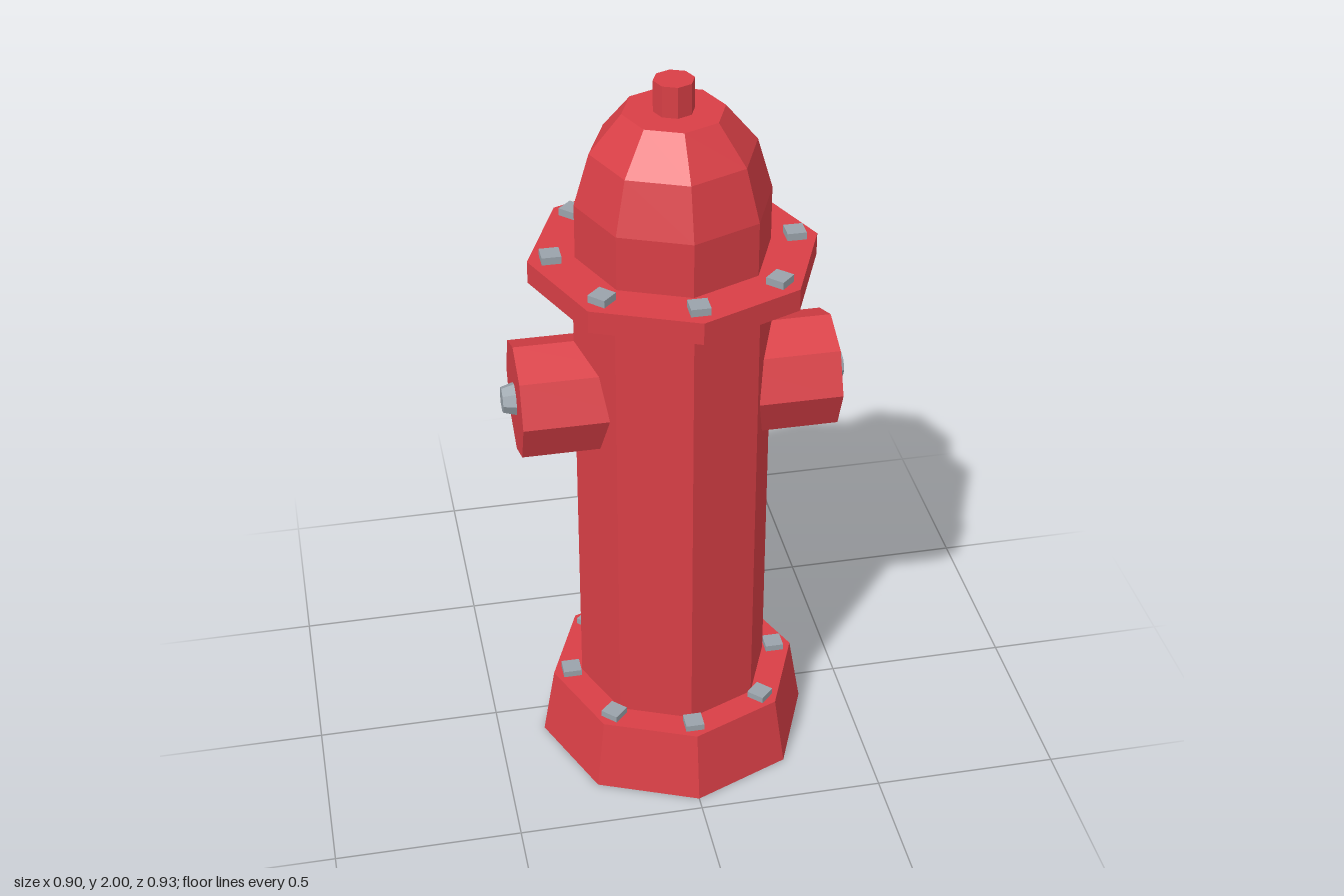
import * as THREE from 'three';

const SIDES = 8;
const AXIS_Z = 0.09; // the barrel stands slightly forward of the centre

const red = new THREE.MeshStandardMaterial({ color: 0xd93f46, flatShading: true, side: THREE.DoubleSide });
red.name = 'red paint';
const steel = new THREE.MeshStandardMaterial({ color: 0x9aa3ab, flatShading: true });
steel.name = 'grey steel';

function part(name, geometry, material, parent) {
  const mesh = new THREE.Mesh(geometry, material);
  mesh.name = name;
  parent.add(mesh);
  return mesh;
}

// Octagonal shell turned around the vertical axis
const turned = (points) =>
  new THREE.LatheGeometry(points.map(([r, y]) => new THREE.Vector2(r, y)), SIDES);

// Octagonal prism or taper from y0 to y1
const prism = (r0, r1, y0, y1) =>
  new THREE.CylinderGeometry(r1, r0, y1 - y0, SIDES).translate(0, (y0 + y1) / 2, 0);

// Ring of square bolts, each turned to face outward
function boltRing(name, radius, top, parent) {
  const ring = new THREE.Group();
  ring.name = name;
  for (let i = 0; i < SIDES; i++) {
    const angle = (i / SIDES) * Math.PI * 2;
    const bolt = part('bolt', new THREE.BoxGeometry(0.05, 0.045, 0.05), steel, ring);
    bolt.position.set(Math.sin(angle) * radius, top - 0.0225, Math.cos(angle) * radius);
    bolt.rotation.y = angle;
  }
  parent.add(ring);
}

// Outlet built along +y, with a tapered nut on its end cap
function outlet(name, radius, length, nutOuter, nutInner, nutLength, parent) {
  const group = new THREE.Group();
  group.name = name;
  part('nozzle', prism(radius, radius, 0.1, length), red, group);
  part('nozzleNut', prism(nutInner, nutOuter, length, length + nutLength), steel, group);
  parent.add(group);
  return group;
}

export function createModel() {
  const model = new THREE.Group();
  model.name = 'fireHydrant';
  const body = new THREE.Group();
  body.name = 'hydrantBody';
  body.position.z = AXIS_Z;
  model.add(body);

  // Flared base, hollow underneath
  part('base', turned([[0.373, 0], [0.34, 0.197], [0, 0.197]]), red, body);
  boltRing('baseBolts', 0.29, 0.215, body);

  // Barrel and upper flange
  part('barrel', prism(0.26, 0.26, 0.197, 1.48), red, body);
  part('flange', prism(0.373, 0.373, 1.473, 1.533), red, body);
  boltRing('flangeBolts', 0.314, 1.553, body);

  // Bonnet and operating knob
  part('bonnet', turned([[0.252, 1.53], [0.252, 1.68], [0.212, 1.818], [0.13, 1.918], [0, 1.918]]), red, body);
  part('topKnob', prism(0.052, 0.052, 1.91, 2), red, body);

  // Mirrored side outlets
  for (const side of [1, -1]) {
    const o = outlet(side > 0 ? 'leftOutlet' : 'rightOutlet', 0.156, 0.418, 0.034, 0.044, 0.034, body);
    o.position.y = 1.131;
    o.rotation.z = -side * Math.PI / 2;
  }

  // Large rear outlet
  const rear = outlet('rearOutlet', 0.195, 0.525, 0.042, 0.061, 0.031, body);
  rear.position.y = 1.145;
  rear.rotation.x = -Math.PI / 2;

  return model;
}
